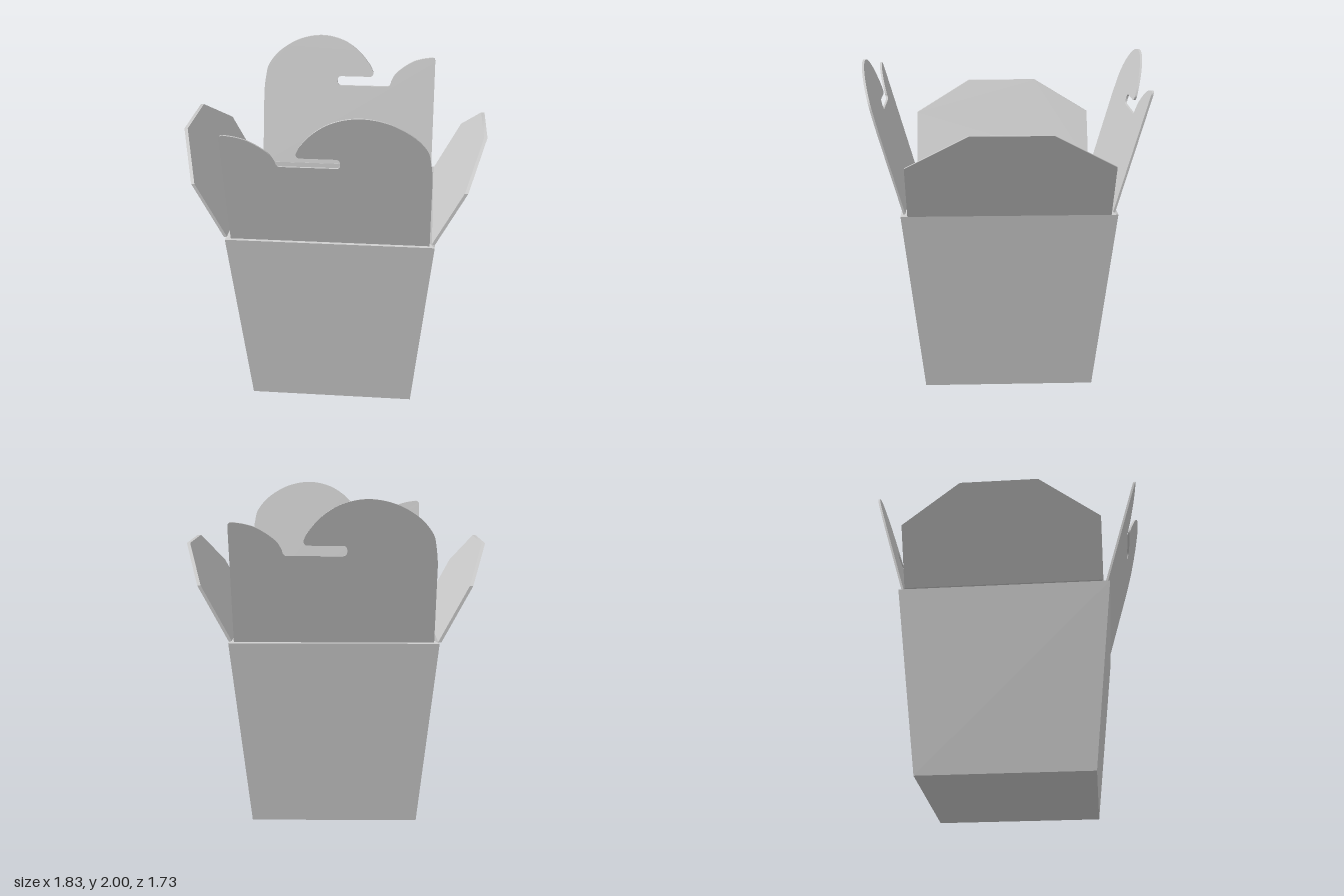
import * as THREE from 'three';
import { toCreasedNormals } from 'three/addons/utils/BufferGeometryUtils.js';

const RIM = 1.145;
const material = new THREE.MeshStandardMaterial({ color: 0xcccccc, side: THREE.DoubleSide });

// Tapered open carton: rectangular rings joined from the outside, over the rim, to the inner floor
function cartonGeometry() {
  const rings = [[0.505, 0, 0.52], [0.619, RIM, 0.64], [0.592, RIM + 0.01, 0.604], [0.48, 0.02, 0.47]];
  const corner = ([x, y, z], i) => [[x, y, z], [x, y, -z], [-x, y, -z], [-x, y, z]][i % 4];
  const pos = [];
  const quad = (a, b, c, d) => pos.push(...a, ...b, ...c, ...a, ...c, ...d);
  for (let r = 0; r < rings.length - 1; r++) {
    for (let i = 0; i < 4; i++) {
      quad(corner(rings[r], i), corner(rings[r], i + 1), corner(rings[r + 1], i + 1), corner(rings[r + 1], i));
    }
  }
  const cap = (ring, order) => quad(...order.map((i) => corner(ring, i)));
  cap(rings[0], [3, 2, 1, 0]);
  cap(rings[3], [0, 1, 2, 3]);
  const geo = new THREE.BufferGeometry();
  geo.setAttribute('position', new THREE.Float32BufferAttribute(pos, 3));
  geo.computeVertexNormals();
  return geo;
}

// Thin upright card, leaned outwards by shearing it along its height
function flapGeometry(shape, thickness, base, slope) {
  const geo = new THREE.ExtrudeGeometry(shape, { depth: thickness, bevelEnabled: false, curveSegments: 8 });
  const p = geo.attributes.position;
  for (let i = 0; i < p.count; i++) {
    p.setZ(i, p.getZ(i) - thickness / 2 + base + slope * (p.getY(i) - RIM));
  }
  return toCreasedNormals(geo, 0.6);
}

// Outline of the interlocking flap: small shoulder, slot, and large rounded hook
function hookShape() {
  const v = (list) => list.map(([x, y]) => new THREE.Vector2(x, y));
  const s = new THREE.Shape();
  s.moveTo(0.595, RIM);
  s.lineTo(0.595, 1.63);
  s.splineThru(v([[0.583, 1.73], [0.56, 1.81], [0.48, 1.9], [0.35, 1.973], [0.2, 2],
    [0.06, 1.973], [-0.05, 1.907], [-0.13, 1.82], [-0.16, 1.765]]));
  s.quadraticCurveTo(-0.162, 1.735, -0.13, 1.736);
  s.lineTo(0.06, 1.736);
  s.quadraticCurveTo(0.085, 1.736, 0.085, 1.705);
  s.quadraticCurveTo(0.085, 1.675, 0.06, 1.675);
  s.lineTo(-0.255, 1.675);
  s.quadraticCurveTo(-0.28, 1.677, -0.283, 1.71);
  s.splineThru(v([[-0.32, 1.768], [-0.41, 1.832], [-0.48, 1.858], [-0.555, 1.87]]));
  s.quadraticCurveTo(-0.58, 1.87, -0.58, 1.845);
  s.lineTo(-0.58, RIM);
  s.closePath();
  return s;
}

// Side tuck flap with clipped upper corners
function tuckShape() {
  return new THREE.Shape([[-0.6, RIM], [0.6, RIM], [0.6, 1.48], [0.235, 1.688], [-0.235, 1.688], [-0.6, 1.48]]
    .map(([x, y]) => new THREE.Vector2(x, y)));
}

export function createModel() {
  const model = new THREE.Group();
  model.name = 'foldingCarton';
  const add = (name, geometry, turn = 0, x = 0) => {
    const mesh = new THREE.Mesh(geometry, material);
    mesh.name = name;
    mesh.rotation.y = turn;
    mesh.position.x = x;
    model.add(mesh);
  };

  add('cartonBody', cartonGeometry(), 0, 0.006);

  const hook = flapGeometry(hookShape(), 0.013, 0.617, 0.283);
  add('frontHookFlap', hook);
  add('backHookFlap', hook, Math.PI, 0.013);

  const tuck = flapGeometry(tuckShape(), 0.02, 0.615, 0.53);
  add('leftTuckFlap', tuck, Math.PI / 2);
  add('rightTuckFlap', tuck, -Math.PI / 2, -0.002);

  return model;
}
